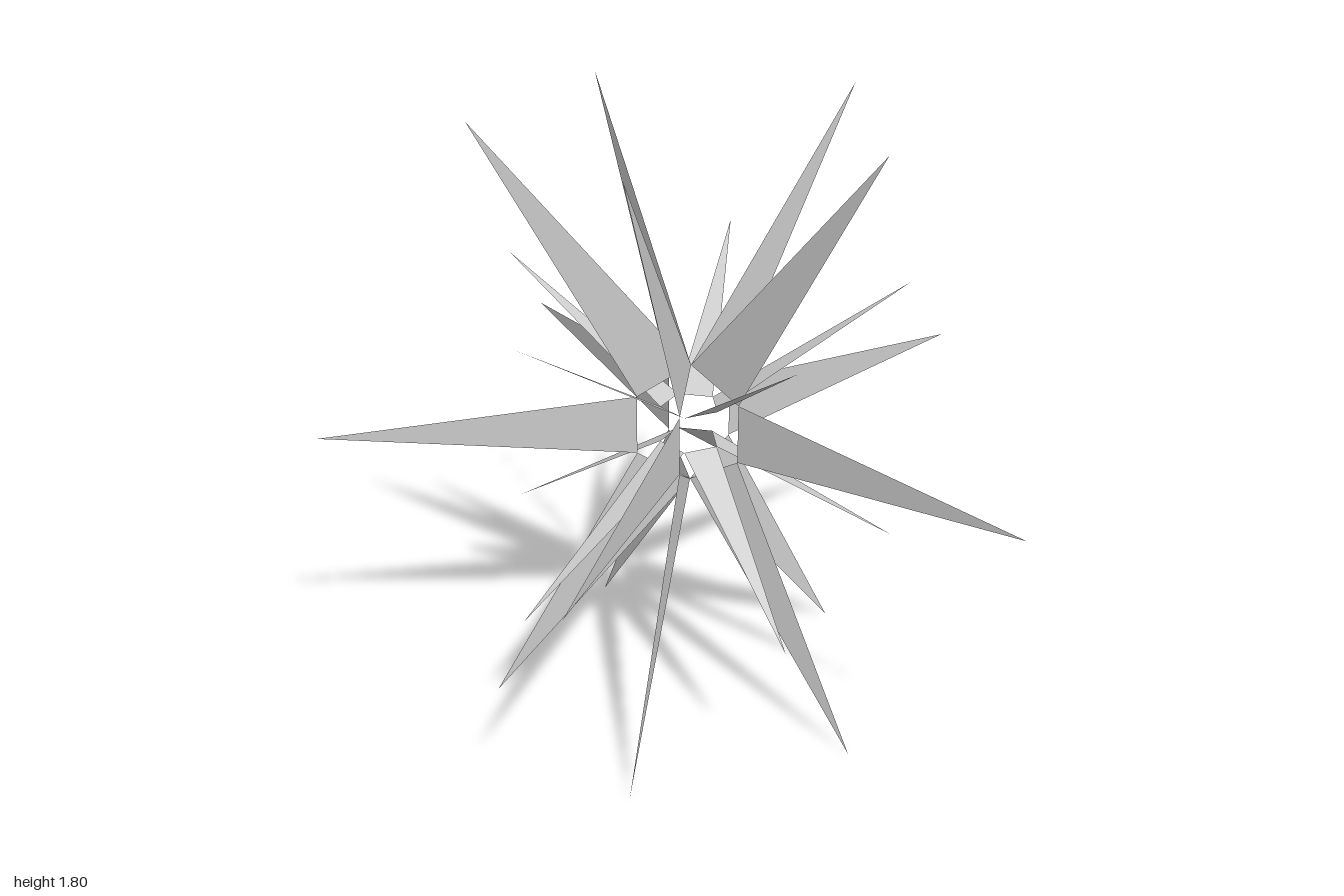
import * as THREE from 'three';

const CX = 0.085, CY = 0.9; // middle of the burst

export function createModel() {
  const group = new THREE.Group();
  group.name = 'spikeBurst';
  const material = new THREE.MeshStandardMaterial({
    color: 0xcccccc, flatShading: true, side: THREE.DoubleSide,
  });

  // point from angle around the axis (degrees, 0 = +x, 90 = +z), radius and height
  const polar = (deg, r, h) => {
    const a = THREE.MathUtils.degToRad(deg);
    return new THREE.Vector3(CX + r * Math.cos(a), CY + h, r * Math.sin(a));
  };

  // one flat triangular spike: two base corners and a tip
  const spike = (name, a, b, tip) => {
    const geometry = new THREE.BufferGeometry().setFromPoints([a, b, tip]);
    geometry.computeVertexNormals();
    const mesh = new THREE.Mesh(geometry, material);
    mesh.name = name;
    group.add(mesh);
  };

  // upright blades: base angle, tip angle
  const blades = [[180, 180], [108, 112.5], [36, 44.6], [-36, -32.6], [-108, -112.5]];
  for (const [base, tip] of blades) {
    // level blade
    spike('levelSpike', polar(base, 0.155, -0.09), polar(base, 0.155, 0.09), polar(tip, 1.066, 0));
    // steep blades above and below, meeting on the axis
    for (const s of [1, -1]) {
      spike(s > 0 ? 'upperSteepSpike' : 'lowerSteepSpike',
        polar(0, 0, 0.183 * s), polar(base, 0.155, 0.09 * s), polar(tip, 0.597, 0.9 * s));
    }
  }

  // shallow flat spikes standing on the sides of a pentagon, above and below
  for (let i = 0; i < 5; i++) {
    const mid = i * 72;
    for (const s of [1, -1]) {
      spike(s > 0 ? 'upperShallowSpike' : 'lowerShallowSpike',
        polar(mid - 36, 0.087, 0.055 * s), polar(mid + 36, 0.087, 0.055 * s),
        polar(mid, 0.622, 0.412 * s));
    }
  }
  return group;
}
